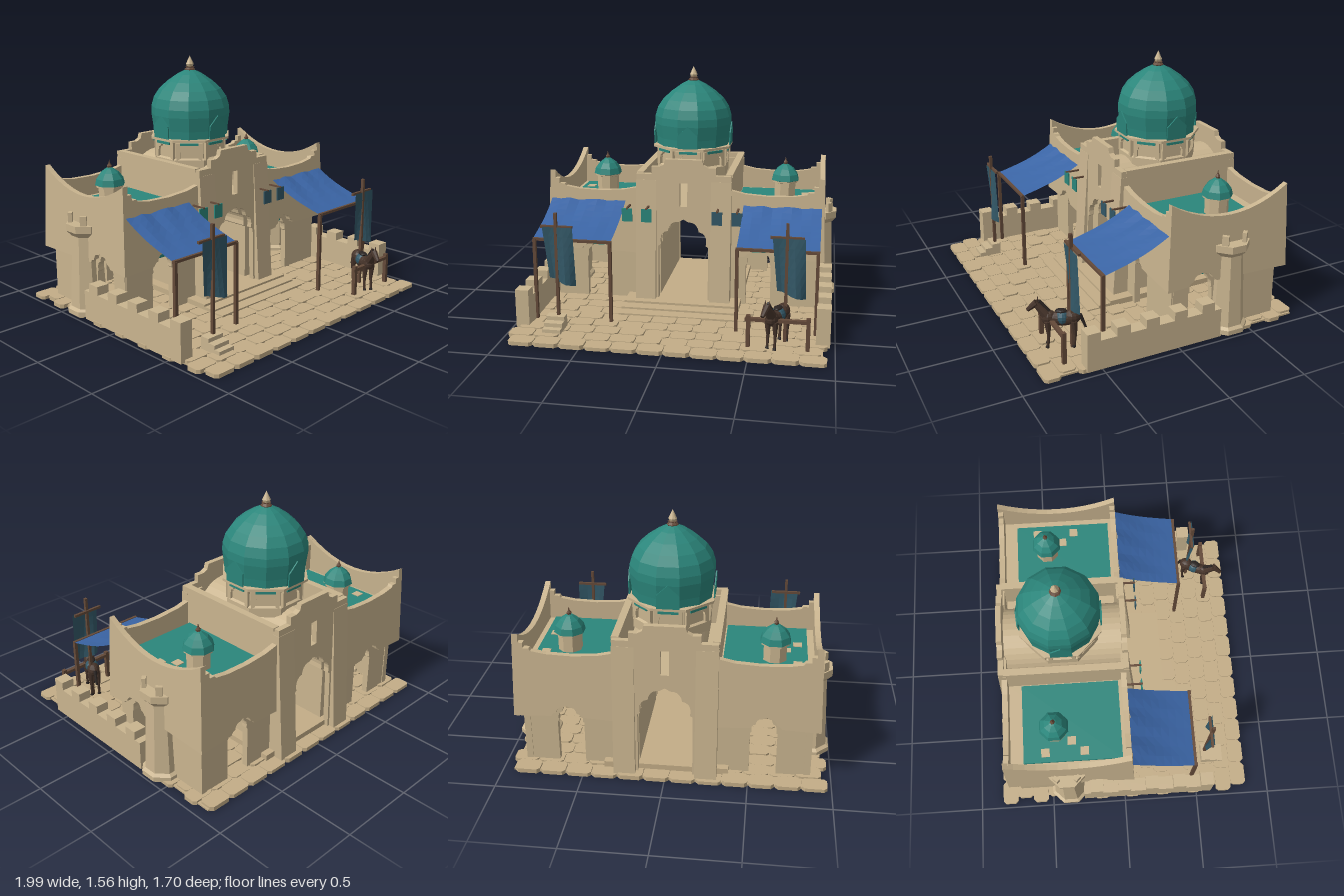
import * as THREE from 'three';

const mat = (name, color, extra = {}) => {
  const m = new THREE.MeshStandardMaterial({ color, flatShading: true, ...extra });
  m.name = name;
  return m;
};
const both = { side: THREE.DoubleSide };
const sand = mat('sandstone', 0xc9b48f, both);
const paving = mat('paving stone', 0xc3ad87);
const teal = mat('teal tile', 0x2b867b, both);
const blue = mat('blue awning cloth', 0x3a64a4, both);
const slate = mat('slate banner cloth', 0x325766, both);
const wood = mat('brown wood', 0x644a39);
const coat = mat('dark horse coat', 0x46342a);
const leather = mat('dark leather', 0x2a2422);

const CZ = -0.355; // centre of the building in z

export function createModel() {
  const root = new THREE.Group();
  root.name = 'desertGatehouse';
  const add = (name, geo, m, parent = root) => {
    const mesh = new THREE.Mesh(geo, m);
    mesh.name = name;
    parent.add(mesh);
    return mesh;
  };
  // Box given by its limits
  const boxGeo = (x0, x1, y0, y1, z0, z1) =>
    new THREE.BoxGeometry(Math.abs(x1 - x0), y1 - y0, z1 - z0).translate((x0 + x1) / 2, (y0 + y1) / 2, (z0 + z1) / 2);
  const box = (name, m, ...l) => add(name, boxGeo(...l), m);
  // Lean walls outward towards the ground
  const batter = (geo, kx, kz) => {
    const p = geo.attributes.position;
    for (let i = 0; i < p.count; i++) {
      const d = 0.9 - p.getY(i);
      p.setX(i, p.getX(i) * (1 + kx * d));
      p.setZ(i, CZ + (p.getZ(i) - CZ) * (1 + kz * d));
    }
    geo.computeVertexNormals();
    return geo;
  };
  // Cusped pointed arch as a list of points, left foot to right foot
  const arch = (cx, w, y0, spring, apex) => {
    const h = apex - spring, s = new THREE.Path();
    s.moveTo(cx - w, y0);
    s.lineTo(cx - w, spring);
    s.lineTo(cx - w * 0.9, spring + h * 0.06);
    s.quadraticCurveTo(cx - w, spring + h * 0.5, cx - w * 0.62, spring + h * 0.56);
    s.quadraticCurveTo(cx - w * 0.55, spring + h * 0.92, cx - w * 0.2, spring + h * 0.9);
    s.lineTo(cx, apex);
    const half = s.getPoints(5).map(p => [p.x, p.y]);
    return [...half, ...half.slice(0, -1).reverse().map(([x, y]) => [2 * cx - x, y])];
  };
  // Wall outline: bottom edge with an arch cut in, then the top edge from right to left
  const wallGeo = (x0, x1, y0, top, depth, opening = [], hole) => {
    const pts = [[x0, y0], ...opening.filter(p => p[1] >= y0), [x1, y0], ...top];
    const shape = new THREE.Shape(pts.map(p => new THREE.Vector2(...p)));
    if (hole) shape.holes.push(new THREE.Path(hole.map(p => new THREE.Vector2(...p))));
    return new THREE.ExtrudeGeometry(shape, { depth, bevelEnabled: false });
  };

  // Paving in running bond
  const pave = new THREE.Group();
  pave.name = 'paving';
  root.add(pave);
  for (let r = 0; r < 16; r++) {
    const z = -0.797 + r * 0.1063, odd = r % 2;
    for (let c = 0; c < 12; c++) {
      const x = -0.9 + c * 0.1585 + (odd ? 0.035 : 0);
      const s = new THREE.Shape(), a = 0.0755, b = 0.0515, k = 0.018;
      [[-a + k, -b], [a - k, -b], [a, -b + k], [a, b - k], [a - k, b], [-a + k, b], [-a, b - k], [-a, -b + k]]
        .forEach((p, i) => (i ? s.lineTo(...p) : s.moveTo(...p)));
      const g = new THREE.ExtrudeGeometry(s, { depth: 0.022 + ((r * 7 + c * 5) % 4) * 0.002, bevelEnabled: false });
      add('pavingSlab', g.rotateX(-Math.PI / 2).translate(x, 0, z), paving, pave);
    }
  }
  box('pavingBed', paving, -0.93, 0.93, 0.003, 0.014, -0.83, 0.83);
  [[0.33, 0.034], [0.25, 0.046], [0.17, 0.06]].forEach(([z, y]) => box('entranceStep', paving, -0.38, 0.38, 0.01, y, -0.76, z));

  // Central gate: solid core with passage, stepped end walls, slit windows
  const gate = arch(0, 0.165, 0, 0.42, 0.605);
  add('gatePassage', wallGeo(-0.3, 0.3, 0, [[0.3, 0.67], [-0.3, 0.67]], 0.72, gate).translate(0, 0, -0.72), sand);
  const steps = [[0.31, 0.9], [0.21, 0.9], [0.21, 0.95], [0.16, 0.95], [0.13, 0.965], [0.12, 1]];
  const gateTop = [...steps, ...steps.map(([x, y]) => [-x, y]).reverse()];
  const slit = [[-0.025, 0.69], [0.025, 0.69], [0.025, 0.845], [-0.025, 0.845]];
  for (const z of [0.025, -0.765]) {
    add('gateWall', batter(wallGeo(-0.31, 0.31, 0, gateTop, 0.035, gate, slit).translate(0, 0, z), 0, 0.06), sand);
  }
  for (const s of [-1, 1]) {
    box('gateSideWall', sand, s * 0.28, s * 0.31, 0, 0.9, -0.76, 0.05);
    box('gateCoping', sand, s * 0.272, s * 0.317, 0.885, 0.905, -0.73, 0.025);
    for (const z of [-0.765, 0.01]) {
      add('gateButtress', batter(boxGeo(s * 0.18, s * 0.312, 0, 0.86, z, z + 0.05), 0, 0.16), sand);
    }
  }
  const vault = new THREE.CylinderGeometry(0.21, 0.21, 0.76, 16, 1, true, -Math.PI / 2, Math.PI);
  add('roofVault', vault.rotateX(-Math.PI / 2).translate(0, 0.67, CZ), sand);

  // Octagonal drum with arched niches, cornice and the great dome
  const lathe = (name, pts, n, m, x, z, turn = 0) => {
    const mesh = add(name, new THREE.LatheGeometry(pts.map(p => new THREE.Vector2(...p)), n), m);
    mesh.position.set(x, 0, z);
    mesh.rotation.y = turn;
    return mesh;
  };
  const T8 = Math.PI / 8;
  lathe('drum', [[0.25, 0.84], [0.25, 0.9], [0.235, 0.91], [0.235, 1.02]], 8, sand, 0, CZ, T8);
  lathe('drumCornice', [[0.23, 1.015], [0.278, 1.022], [0.278, 1.038], [0.2, 1.042]], 8, sand, 0, CZ, T8);
  const niche = arch(0, 0.06, 0.91, 0.955, 1.0);
  for (let i = 0; i < 8; i++) {
    const g = new THREE.Group();
    g.name = 'drumBay';
    g.position.set(0, 0, CZ);
    g.rotation.y = i * Math.PI / 4;
    root.add(g);
    add('drumArch', wallGeo(-0.085, 0.085, 0.9, [[0.085, 1.015], [-0.085, 1.015]], 0.022, niche).translate(0, 0, 0.215), sand, g);
    add('drumTile', boxGeo(-0.06, 0.06, 1.0, 1.016, 0.236, 0.246), teal, g);
    if (i % 2 === 0) {
      const panel = wallGeo(-0.068, 0.068, 1.04, [[0.068, 1.125], [0, 1.19], [-0.068, 1.125]], 0.008);
      add('domePanel', panel.rotateX(0.04).translate(0, 0, 0.21), teal, g);
    }
  }
  lathe('greatDome', [[0.247, 1.035], [0.25, 1.09], [0.262, 1.18], [0.26, 1.23], [0.242, 1.29], [0.205, 1.345],
    [0.15, 1.395], [0.085, 1.44], [0.025, 1.47], [0, 1.475]], 12, teal, 0, CZ, Math.PI / 12);
  lathe('domeFinialBase', [[0.03, 1.455], [0.036, 1.47], [0.022, 1.483], [0.03, 1.488], [0, 1.492]], 8, wood, 0, CZ);
  lathe('domeFinial', [[0.018, 1.485], [0.026, 1.505], [0.012, 1.535], [0, 1.56]], 8, sand, 0, CZ);

  // Side wings: overhanging upper walls, recessed arcades, tiled roofs
  for (const s of [-1, 1]) {
    const frontC = s < 0 ? -0.585 : 0.49, backC = s * 0.585;
    const topEdge = [[0.9, 0.88], [0.865, 0.88], [0.865, 0.845], [0.835, 0.845], [0.835, 0.81], [0.8, 0.81], [0.79, 0.795],
      [0.7, 0.78], [0.55, 0.775], [0.4, 0.785], [0.31, 0.805]].map(([x, y]) => [s * x, y]);
    for (const [c, zu, zl] of [[frontC, 0.005, -0.03], [backC, -0.75, -0.715]]) {
      add('wingUpperWall', batter(wallGeo(s * 0.31, s * 0.9, 0.36, topEdge, 0.035, s > 0 ? arch(c, 0.1, 0, 0.33, 0.445)
        : arch(c, 0.1, 0, 0.33, 0.445).reverse()).translate(0, 0, zu), 0.04, 0.1), sand);
      const low = arch(c, 0.082, 0, 0.3, 0.425);
      add('wingArcade', wallGeo(s * 0.3, s * 0.87, 0, [[s * 0.87, 0.5], [s * 0.3, 0.5]], 0.04,
        s > 0 ? low : low.reverse()).translate(0, 0, zl), sand);
    }
    // Side wall with a sagging parapet; outline runs along -z
    const sag = [];
    for (let i = 0; i <= 12; i++) {
      const u = 1 - i / 6;
      sag.push([0.355 + u * 0.395, 0.775 + 0.125 * u * u]);
    }
    const side = wallGeo(-0.04, 0.75, 0.36, sag, 0.035, arch(0.185, 0.1, 0, 0.33, 0.445));
    add('wingSideWall', batter(side.rotateY(Math.PI / 2).translate(s > 0 ? 0.865 : -0.9, 0, 0), 0.04, 0.1), sand);
    const sideLow = wallGeo(0, 0.72, 0, [[0.72, 0.5], [0, 0.5]], 0.04, arch(0.185, 0.082, 0, 0.3, 0.425));
    add('wingSideArcade', sideLow.rotateY(Math.PI / 2).translate(s > 0 ? 0.835 : -0.875, 0, 0), sand);
    box('wingRoofDeck', sand, s * 0.3, s * 0.89, 0.6, 0.645, -0.74, 0.03);
    box('tiledRoof', teal, s * 0.32, s * 0.83, 0.38, 0.665, -0.64, -0.01);
    [[0.77, -0.5], [0.7, -0.33], [0.77, -0.25]].forEach(([x, z]) =>
      box('roofHatch', sand, s * (x - 0.027), s * (x + 0.027), 0.662, 0.67, z - 0.027, z + 0.027));

    // Small dome turret
    const dx = s * 0.63, dz = -0.435;
    lathe('turretDrum', [[0.075, 0.66], [0.075, 0.765], [0.09, 0.77], [0.09, 0.785]], 8, sand, dx, dz, T8);
    lathe('turretDome', [[0.075, 0.775], [0.098, 0.785], [0.088, 0.825], [0.06, 0.862], [0.025, 0.888], [0, 0.9]], 8, teal, dx, dz, T8);
    lathe('turretFinial', [[0.012, 0.885], [0.016, 0.905], [0.006, 0.92], [0, 0.945]], 6, wood, dx, dz);

    // Octagonal watch tower
    const tx = s * 0.87, tz = -0.375;
    lathe('watchTower', [[0.135, 0.015], [0.135, 0.045], [0.115, 0.06], [0.092, 0.52], [0.125, 0.555], [0.125, 0.6], [0, 0.6]],
      8, sand, tx, tz, T8);
    for (let i = 0; i < 4; i++) {
      const m = add('towerMerlon', new THREE.BoxGeometry(0.04, 0.07, 0.025), sand);
      const a = i * Math.PI / 2 + Math.PI / 4;
      m.position.set(tx + Math.sin(a) * 0.095, 0.625, tz + Math.cos(a) * 0.095);
      m.rotation.y = a;
    }

    // Low battlemented yard wall
    box('yardWall', sand, s * 0.885, s * 0.97, 0.01, 0.2, -0.28, 0.6);
    for (let i = 0; i < 5; i++) box('yardMerlon', sand, s * 0.885, s * 0.97, 0.195, 0.255, 0.515 - i * 0.187, 0.6 - i * 0.187);

    // Awning on posts
    const cloth = new THREE.PlaneGeometry(0.5, 0.41, 8, 8).rotateX(-Math.PI / 2);
    const p = cloth.attributes.position;
    for (let i = 0; i < p.count; i++) {
      const x = p.getX(i), t = (p.getZ(i) + 0.205) / 0.41;
      p.setY(i, 0.712 - 0.16 * t - 0.018 * Math.sin(Math.PI * t) + 0.005 * Math.sin(x * 38 + t * 5) * (1 - t));
      p.setZ(i, p.getZ(i) + 0.008 * Math.sin(x * 25) * (1 - t));
    }
    cloth.computeVertexNormals();
    add('awningCloth', cloth.translate(s * 0.64, 0, 0.25), blue);
    box('awningRail', wood, s * 0.385, s * 0.89, 0.54, 0.557, 0.45, 0.468);
    for (const x of [0.395, 0.88]) box('awningPost', wood, s * x - 0.01, s * x + 0.01, 0.02, 0.55, 0.45, 0.472);

    // Small hanging flags beside the gate
    for (const x of [0.23, 0.358]) {
      box('hangingFlag', s < 0 ? teal : slate, s * x - 0.034, s * x + 0.034, 0.598, 0.685, 0.14, 0.148);
      box('flagRod', wood, s * x - 0.006, s * x + 0.006, 0.68, 0.69, 0.03, 0.15);
    }

    // Standing banner
    const bx = s * 0.7, bz = 0.575;
    box('bannerPole', wood, bx - 0.009, bx + 0.009, 0.02, 0.757, bz - 0.01, bz + 0.01);
    box('bannerCrossbar', wood, bx - 0.1, bx + 0.1, 0.658, 0.674, bz - 0.018, bz - 0.002);
    const flag = new THREE.PlaneGeometry(0.19, 0.35, 6, 6);
    const f = flag.attributes.position;
    for (let i = 0; i < f.count; i++) {
      const x = f.getX(i), t = 0.5 - f.getY(i) / 0.35;
      f.setXYZ(i, x * (1 - 0.1 * t) + 0.022 * t, 0.667 - 0.33 * t - 0.04 * t * (x / 0.19 + 0.5),
        0.012 + 0.028 * t * Math.sin(x * 30 + 0.6));
    }
    flag.computeVertexNormals();
    add('bannerCloth', flag.translate(bx + 0.01, 0, bz - 0.005), slate);
  }
  // Stepped mounting block by the right-hand banner
  [[0.55, 0.7, 0.05], [0.55, 0.66, 0.075], [0.55, 0.61, 0.1]].forEach(([z0, z1, y]) =>
    box('mountingBlock', sand, -0.77, -0.655, 0.01, y, z0, z1));

  // Hitching rail
  box('hitchingRail', wood, 0.47, 0.85, 0.19, 0.21, 0.675, 0.7);
  for (const x of [0.49, 0.84]) box('hitchingPost', wood, x - 0.012, x + 0.012, 0.01, 0.225, 0.675, 0.7);

  // Saddled horse
  const horse = new THREE.Group();
  horse.name = 'horse';
  horse.position.set(0.655, 0.02, 0.635);
  horse.rotation.y = -0.42;
  root.add(horse);
  const limb = (name, a, b, ra, rb, m = coat) => {
    const A = new THREE.Vector3(...a), B = new THREE.Vector3(...b), d = B.clone().sub(A);
    const mesh = add(name, new THREE.CylinderGeometry(rb, ra, d.length(), 8), m, horse);
    mesh.position.copy(A).add(B).multiplyScalar(0.5);
    mesh.quaternion.setFromUnitVectors(new THREE.Vector3(0, 1, 0), d.normalize());
  };
  const blob = (name, x, y, z, sx, sy, sz, m = coat) =>
    add(name, new THREE.SphereGeometry(1, 12, 8).scale(sx, sy, sz).translate(x, y, z), m, horse);
  blob('horseBody', 0, 0.185, -0.01, 0.04, 0.045, 0.115);
  blob('horseRump', 0, 0.198, -0.075, 0.041, 0.045, 0.05);
  blob('horseChest', 0, 0.195, 0.065, 0.038, 0.046, 0.045);
  limb('horseNeck', [0, 0.205, 0.07], [0, 0.285, 0.135], 0.035, 0.02);
  limb('horseHead', [0, 0.292, 0.13], [0, 0.245, 0.185], 0.023, 0.013);
  limb('horseMane', [0, 0.235, 0.06], [0, 0.305, 0.115], 0.012, 0.009, leather);
  limb('horseTail', [0, 0.21, -0.12], [0, 0.12, -0.155], 0.012, 0.007, leather);
  for (const s of [-1, 1]) {
    limb('horseEar', [s * 0.012, 0.295, 0.125], [s * 0.015, 0.325, 0.125], 0.007, 0.001);
    for (const z of [-0.085, 0.07]) {
      limb('horseUpperLeg', [s * 0.024, 0.18, z], [s * 0.024, 0.09, z - 0.006], 0.021, 0.011);
      limb('horseLowerLeg', [s * 0.024, 0.09, z - 0.006], [s * 0.024, 0.018, z], 0.01, 0.008);
      limb('horseHoof', [s * 0.024, 0.004, z + 0.003], [s * 0.024, 0.02, z], 0.012, 0.009, leather);
    }
  }
  blob('saddleBlanket', 0, 0.192, -0.015, 0.045, 0.046, 0.045, slate);
  blob('saddle', 0, 0.236, -0.01, 0.025, 0.012, 0.036, leather);
  return root;
}
